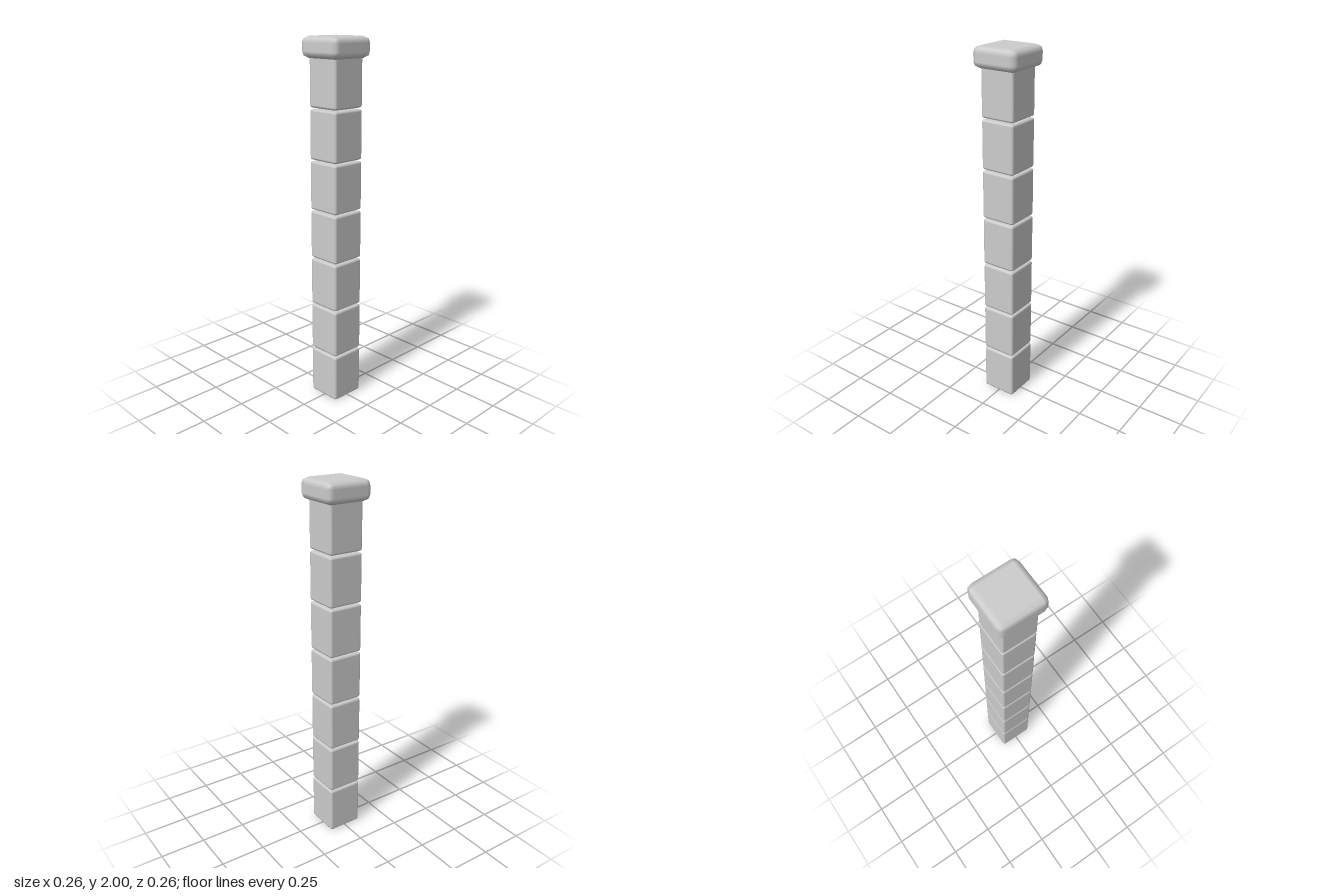
import * as THREE from 'three';
import { RoundedBoxGeometry } from 'three/addons/geometries/RoundedBoxGeometry.js';

export function createModel() {
  const group = new THREE.Group();
  const stone = new THREE.MeshStandardMaterial({ color: 0xcccccc });
  stone.name = 'pale grey stone';

  // Bevelled block standing on height y
  function addBlock(name, width, height, radius, y) {
    const mesh = new THREE.Mesh(new RoundedBoxGeometry(width, height, width, 1, radius), stone);
    mesh.name = name;
    mesh.position.y = y + height / 2;
    group.add(mesh);
  }

  // Shaft: seven stacked blocks with thin open joints
  const count = 7, pitch = 0.273, blockHeight = 0.266;
  for (let i = 0; i < count; i++) {
    addBlock(`shaftBlock${i + 1}`, 0.196, blockHeight, 0.013, 0.003 + i * pitch);
  }

  // Capital: wide, softly rounded slab
  addBlock('capital', 0.262, 0.11, 0.034, 1.89);

  return group;
}
